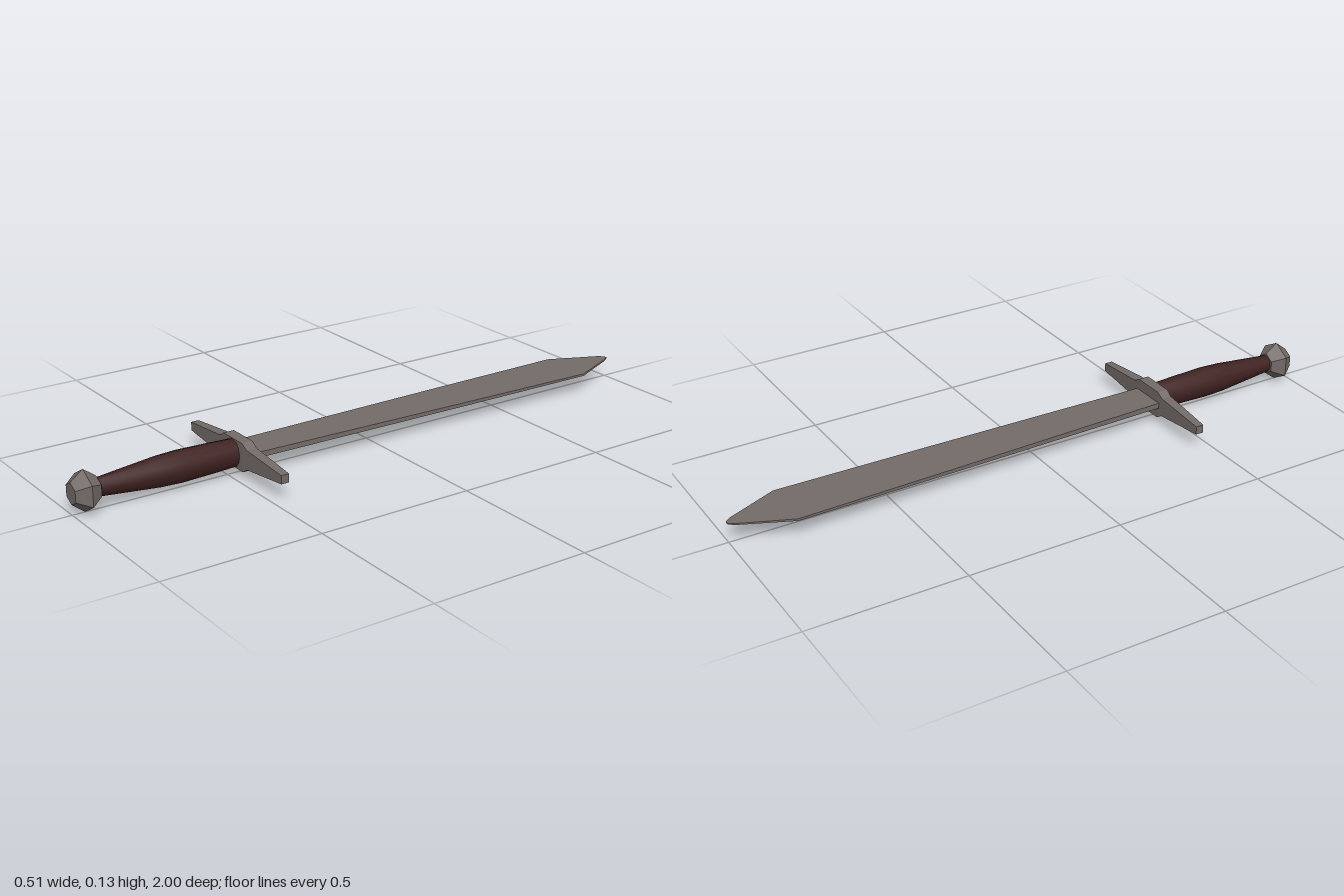
import * as THREE from 'three';
import { toCreasedNormals } from 'three/addons/utils/BufferGeometryUtils.js';

const MID = 0.066; // height of the sword's long axis

// Joins rings of points (counter-clockwise seen from the end of the path) and caps both ends.
function loft(rings) {
  const pos = [], n = rings[0].length;
  const tri = (a, b, c) => pos.push(...a, ...b, ...c);
  for (let i = 0; i < rings.length - 1; i++) {
    for (let j = 0; j < n; j++) {
      const k = (j + 1) % n, a = rings[i], b = rings[i + 1];
      tri(a[j], a[k], b[k]);
      tri(a[j], b[k], b[j]);
    }
  }
  const first = rings[0], last = rings[rings.length - 1];
  for (let j = 1; j < n - 1; j++) {
    tri(first[0], first[j + 1], first[j]);
    tri(last[0], last[j], last[j + 1]);
  }
  const geo = new THREE.BufferGeometry();
  geo.setAttribute('position', new THREE.Float32BufferAttribute(pos, 3));
  geo.computeVertexNormals();
  return geo;
}

// Polygon ring around the z axis, with a corner at the top.
function ringZ(z, rx, ry, sides) {
  return Array.from({ length: sides }, (_, i) => {
    const a = Math.PI / 2 + (i / sides) * Math.PI * 2;
    return [rx * Math.cos(a), MID + ry * Math.sin(a), z];
  });
}

const CORNERS = [[-1, -1], [1, -1], [1, 1], [-1, 1]];

export function createModel() {
  const steel = new THREE.MeshStandardMaterial({ color: 0x736b68 });
  steel.name = 'steel';
  const leather = new THREE.MeshStandardMaterial({ color: 0x3f2221 });
  leather.name = 'leather';

  const group = new THREE.Group();
  group.name = 'sword';
  const add = (name, geometry, material) => {
    const mesh = new THREE.Mesh(geometry, material);
    mesh.name = name;
    group.add(mesh);
  };

  // Blade: flat slab, widening towards the point; [z, half width, half thickness]
  const blade = [
    [-1, 0.006, 0.002], [-0.98, 0.02, 0.0025], [-0.82, 0.09, 0.0035],
    [-0.3, 0.079, 0.006], [0.46, 0.06, 0.009],
  ];
  add('blade', loft(blade.map(([z, w, t]) => CORNERS.map(([x, y]) => [x * w, MID + y * t, z]))), steel);

  // Crossguard: tapering arms with a thicker block in the middle; [x, half height, half depth]
  const arm = [[0.053, 0.045, 0.018], [0.075, 0.031, 0.017], [0.255, 0.0135, 0.013]];
  const guard = [...arm.map(([x, h, d]) => [-x, h, d]).reverse(), ...arm];
  add('crossguard', loft(guard.map(([x, h, d]) => CORNERS.map(([y, z]) => [x, MID + y * h, 0.46 + z * d]))), steel);

  // Grip: smooth swelling handle; [z, half width, half height]
  const grip = [
    [0.45, 0.036, 0.043], [0.55, 0.04, 0.047], [0.66, 0.043, 0.05],
    [0.73, 0.041, 0.047], [0.93, 0.024, 0.027],
  ];
  add('grip', toCreasedNormals(loft(grip.map(([z, rx, ry]) => ringZ(z, rx, ry, 12))), 0.8), leather);

  // Pommel: faceted six-sided knob; [z, radius]
  const pommel = [[0.92, 0.035], [0.96, 0.065], [1, 0.034]];
  add('pommel', loft(pommel.map(([z, r]) => ringZ(z, r, r, 6))), steel);

  return group;
}
